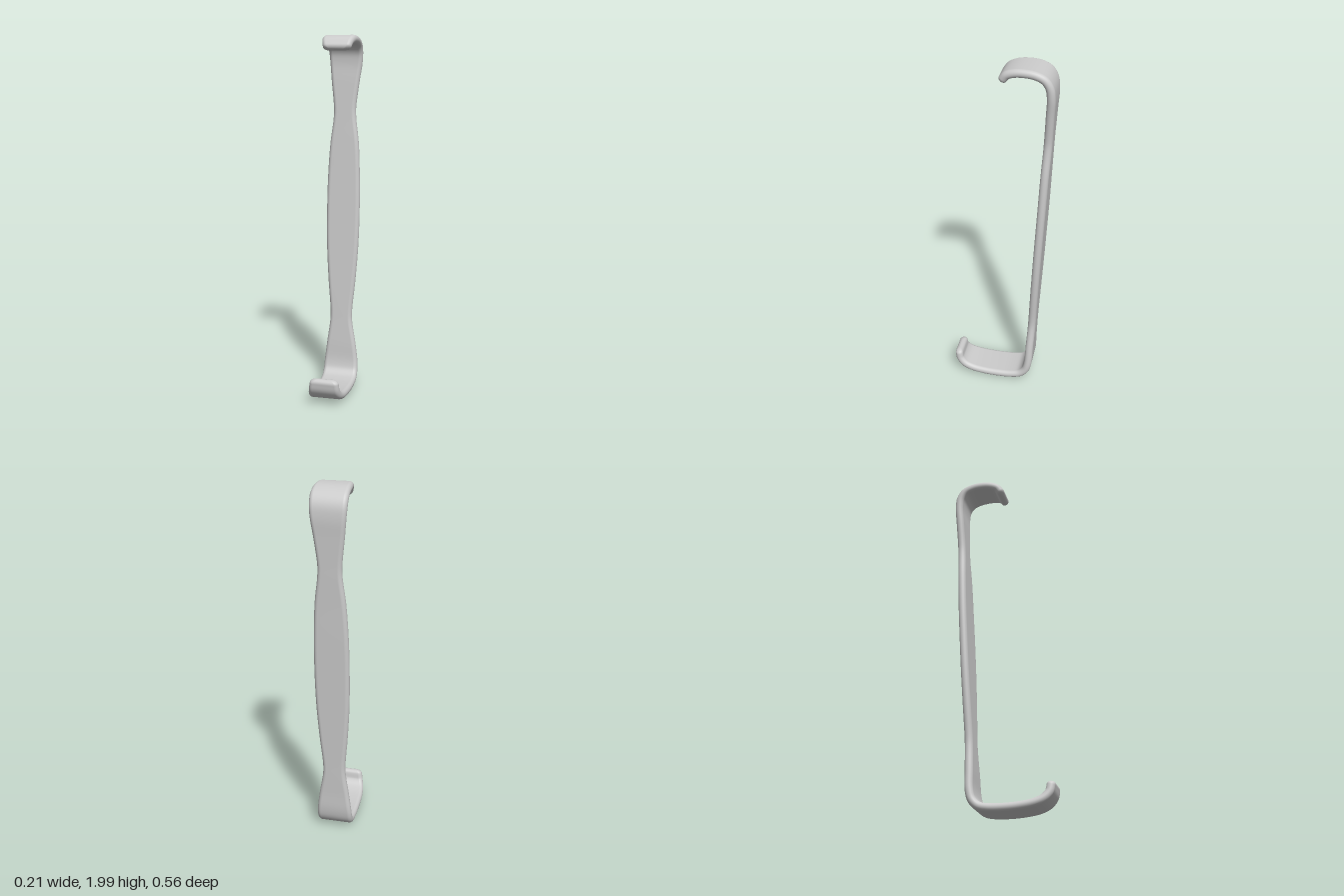
import * as THREE from 'three';

// Centre line of the bent strap with its side edges: [z, y, right edge x, left edge x]
const STATIONS = [
  [-0.010, 1.938, -0.070, 0.090], [-0.030, 1.961, -0.078, 0.095], [-0.070, 1.975, -0.086, 0.099],
  [-0.120, 1.978, -0.092, 0.101], [-0.175, 1.971, -0.095, 0.102], [-0.220, 1.950, -0.096, 0.102],
  [-0.246, 1.910, -0.095, 0.100], [-0.254, 1.850, -0.091, 0.095], [-0.249, 1.750, -0.082, 0.080],
  [-0.241, 1.600, -0.067, 0.062], [-0.238, 1.540, -0.068, 0.064], [-0.230, 1.400, -0.085, 0.081],
  [-0.220, 1.200, -0.097, 0.090], [-0.209, 1.000, -0.100, 0.092], [-0.198, 0.800, -0.097, 0.087],
  [-0.187, 0.600, -0.085, 0.073], [-0.178, 0.430, -0.071, 0.057], [-0.175, 0.370, -0.072, 0.058],
  [-0.168, 0.240, -0.089, 0.080], [-0.162, 0.130, -0.102, 0.094], [-0.147, 0.078, -0.104, 0.097],
  [-0.115, 0.046, -0.104, 0.098], [-0.060, 0.033, -0.103, 0.099], [0.020, 0.030, -0.102, 0.100],
  [0.100, 0.034, -0.100, 0.100], [0.170, 0.045, -0.097, 0.099], [0.220, 0.066, -0.090, 0.097],
  [0.250, 0.100, -0.080, 0.092], [0.258, 0.137, -0.073, 0.088],
];
const HALF = 0.0225; // half thickness of the strap
const SIDE = 12;     // segments round each edge of the cross-section

function strapGeometry() {
  const edge = (k) => new THREE.CatmullRomCurve3(
    STATIONS.map((s) => new THREE.Vector3(s[k], s[1], s[0])), false, 'centripetal');
  const rightEdge = edge(2), leftEdge = edge(3);
  const steps = (STATIONS.length - 1) * 5;
  const caps = 6;
  const positions = [];
  const indices = [];

  // One rounded ring; "a" runs 0..90 degrees to round off an end of the strap
  const addRing = (t, a, dir) => {
    const r = rightEdge.getPoint(t), l = leftEdge.getPoint(t);
    const tan = leftEdge.getTangent(t).setX(0).normalize();
    const c = Math.cos(a), out = dir * HALF * Math.sin(a);
    const inset = HALF * (1 - c) + HALF;
    const y = (r.y + l.y) / 2 + tan.y * out, z = (r.z + l.z) / 2 + tan.z * out;
    for (const sgn of [1, -1]) {
      const cx = sgn > 0 ? l.x - inset : r.x + inset;
      for (let j = 0; j <= SIDE; j++) {
        const b = -Math.PI / 2 + (Math.PI * j) / SIDE;
        const n = sgn * HALF * c * Math.sin(b);
        positions.push(cx + sgn * HALF * c * Math.cos(b), y + tan.z * n, z - tan.y * n);
      }
    }
  };
  for (let i = caps; i > 0; i--) addRing(0, (i / caps) * Math.PI / 2, -1);
  for (let i = 0; i <= steps; i++) addRing(i / steps, 0, 1);
  for (let i = 1; i <= caps; i++) addRing(1, (i / caps) * Math.PI / 2, 1);

  // Skin the rings together
  const n = 2 * (SIDE + 1);
  const rings = positions.length / 3 / n;
  for (let i = 0; i < rings - 1; i++) {
    for (let j = 0; j < n; j++) {
      const a = i * n + j, b = i * n + ((j + 1) % n);
      indices.push(a, b, a + n, b, b + n, a + n);
    }
  }
  const geo = new THREE.BufferGeometry();
  geo.setAttribute('position', new THREE.Float32BufferAttribute(positions, 3));
  geo.setIndex(indices);
  geo.computeVertexNormals();
  return geo;
}

export function createModel() {
  const group = new THREE.Group();
  group.name = 'doubleEndedHook';
  const strap = new THREE.Mesh(strapGeometry(), new THREE.MeshStandardMaterial({ color: 0xcccccc }));
  strap.name = 'hookStrap';
  group.add(strap);
  return group;
}
